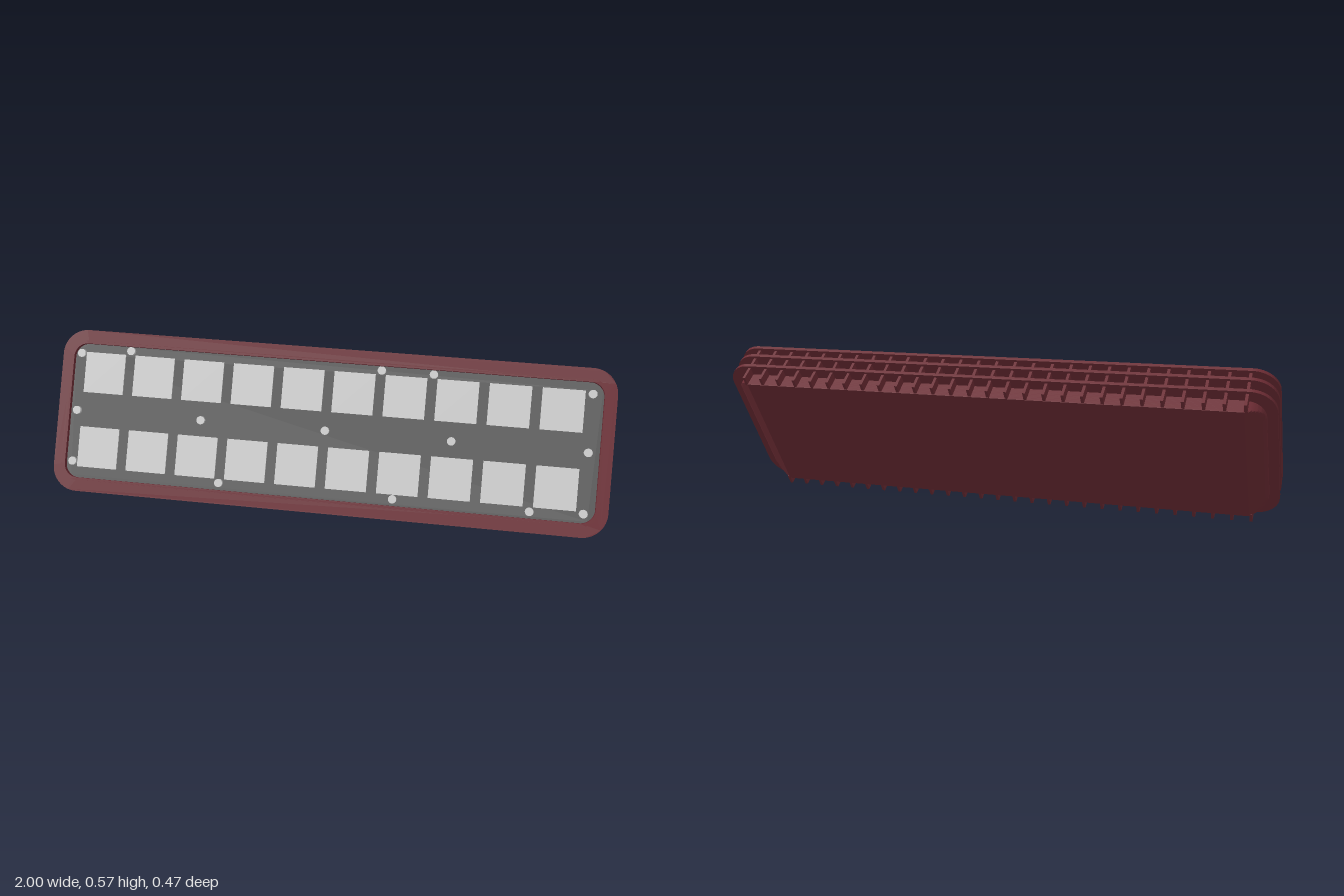
import * as THREE from 'three';
import { toCreasedNormals } from 'three/addons/utils/BufferGeometryUtils.js';

const red = new THREE.MeshStandardMaterial({ color: 0x6b2b33 });
const dark = new THREE.MeshStandardMaterial({ color: 0x585858 });
const grey = new THREE.MeshStandardMaterial({ color: 0xcccccc });

// Rounded rectangle given by its half width, half height and corner radius
function roundedRect(Type, w, h, r) {
  const s = new Type();
  s.absarc(w - r, h - r, r, 0, Math.PI / 2);
  s.absarc(-w + r, h - r, r, Math.PI / 2, Math.PI);
  s.absarc(-w + r, -h + r, r, Math.PI, Math.PI * 1.5);
  s.absarc(w - r, -h + r, r, Math.PI * 1.5, Math.PI * 2);
  s.closePath();
  return s;
}

// Slab between two depths, optionally with a rounded opening
function slab(outer, z0, z1, inner, steps = 1) {
  const shape = roundedRect(THREE.Shape, ...outer);
  if (inner) shape.holes.push(roundedRect(THREE.Path, ...inner));
  const g = new THREE.ExtrudeGeometry(shape, { depth: z1 - z0, bevelEnabled: false, curveSegments: 10, steps });
  g.translate(0, 0, z0);
  return g;
}

export function createModel() {
  const model = new THREE.Group();
  const lamp = new THREE.Group();
  lamp.name = 'floodlightPanel';
  lamp.rotation.x = THREE.MathUtils.degToRad(-35);
  lamp.position.y = 0.2825;
  model.add(lamp);

  const add = (name, geometry, material, x = 0, y = 0, z = 0) => {
    const mesh = new THREE.Mesh(geometry, material);
    mesh.name = name;
    mesh.position.set(x, y, z);
    lamp.add(mesh);
    return mesh;
  };

  // Housing: rounded block whose ends are cut off at a slant towards the back
  const housing = slab([0.965, 0.256, 0.07], -0.085, 0.068, null, 24);
  const p = housing.attributes.position;
  for (let i = 0; i < p.count; i++) {
    const limit = 0.9 + Math.max(0, p.getZ(i) + 0.085) * 1.6;
    p.setX(i, THREE.MathUtils.clamp(p.getX(i), -limit, limit));
  }
  add('housing', toCreasedNormals(housing, 0.5), red);

  // Three flanges around the housing and the raised lip in front
  const opening = [0.955, 0.246, 0.05];
  for (const z of [0.068, 0.024, -0.03]) {
    add('flange', toCreasedNormals(slab([1, 0.296, 0.09], z, z + 0.013, opening), 0.5), red);
  }
  add('frontLip', toCreasedNormals(slab([0.97, 0.256, 0.06], 0.08, 0.091, opening), 0.5), red);

  // Cooling fins with a square hole, along the top and bottom
  const finCount = 28;
  for (const side of [1, -1]) {
    const shape = new THREE.Shape([
      [-0.083, 0.25], [0.07, 0.25], [0.07, 0.287], [-0.083, 0.287],
    ].map(([a, b]) => new THREE.Vector2(a, b * side)));
    shape.holes.push(new THREE.Path([
      [-0.008, 0.27], [0.003, 0.27], [0.003, 0.281], [-0.008, 0.281],
    ].map(([a, b]) => new THREE.Vector2(a, b * side))));
    const fin = new THREE.ExtrudeGeometry(shape, { depth: 0.01, bevelEnabled: false });
    fin.translate(0, 0, -0.005);
    fin.rotateY(-Math.PI / 2);
    for (let i = 0; i < finCount; i++) {
      add('coolingFin', fin, red, -0.905 + (1.81 * i) / (finCount - 1));
    }
  }

  // Short ribs between the flanges on both ends
  const rib = new THREE.BoxGeometry(0.03, 0.008, 0.1);
  for (const side of [1, -1]) {
    for (let i = 0; i < 7; i++) add('endRib', rib, red, side * 0.973, -0.2 + i * 0.0667, 0.02);
  }

  // Mounting board with two rows of square light tiles
  add('board', slab([0.955, 0.246, 0.05], 0.064, 0.071), dark);
  const tile = new THREE.BoxGeometry(0.148, 0.148, 0.008);
  for (const y of [0.142, -0.132]) {
    for (let i = 0; i < 10; i++) add('lightTile', tile, grey, -0.84 + i * 0.184, y, 0.072);
  }

  // Screws holding the board
  const screw = new THREE.CylinderGeometry(0.015, 0.015, 0.018, 16);
  screw.rotateX(Math.PI / 2);
  const screws = [
    [-0.93, 0.21], [-0.745, 0.23], [0.175, 0.23], [0.36, 0.23], [0.915, 0.205],
    [-0.93, 0], [-0.465, 0], [-0.01, 0], [0.44, 0], [0.915, 0],
    [-0.93, -0.187], [-0.38, -0.22], [0.25, -0.222], [0.73, -0.222], [0.915, -0.213],
  ];
  for (const [x, y] of screws) add('screw', screw, grey, x, y, 0.077);

  return model;
}
